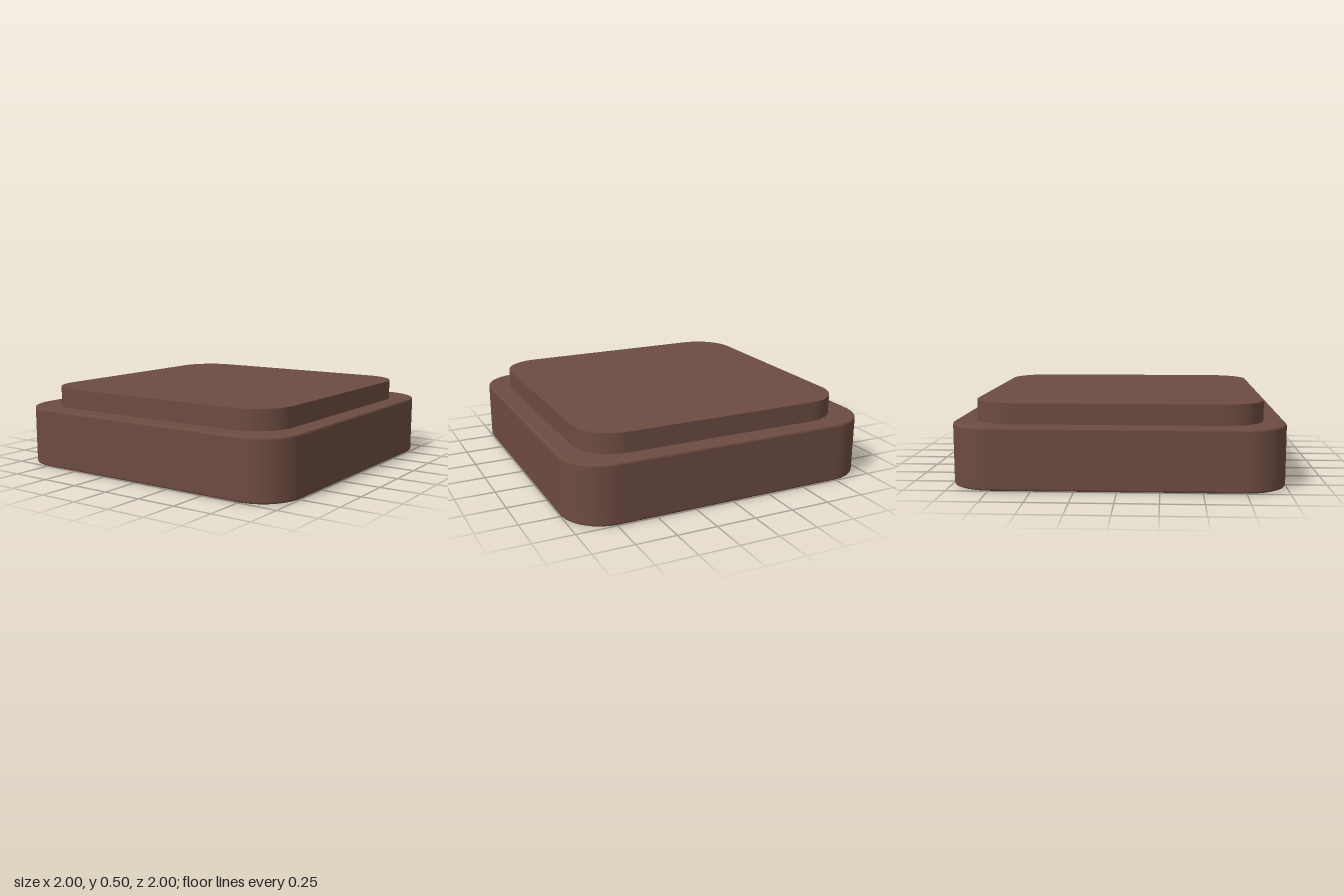
import * as THREE from 'three';

// Rounded square outline, centred on the origin
function roundedSquare(half, r, Type = THREE.Shape) {
  const s = new Type();
  const c = half - r;
  s.moveTo(-c, -half);
  s.lineTo(c, -half);
  s.absarc(c, -c, r, -Math.PI / 2, 0);
  s.lineTo(half, c);
  s.absarc(c, c, r, 0, Math.PI / 2);
  s.lineTo(-c, half);
  s.absarc(-c, c, r, Math.PI / 2, Math.PI);
  s.lineTo(-half, -c);
  s.absarc(-c, -c, r, Math.PI, Math.PI * 1.5);
  return s;
}

// Extrudes an outline upward between two heights
function slab(name, shape, y0, y1, bevel, material) {
  const geo = new THREE.ExtrudeGeometry(shape, {
    depth: y1 - y0 - 2 * bevel,
    curveSegments: 8,
    bevelEnabled: bevel > 0,
    bevelSize: bevel,
    bevelThickness: bevel,
    bevelSegments: 2,
  });
  geo.translate(0, 0, bevel);
  geo.rotateX(-Math.PI / 2);
  geo.translate(0, y0, 0);
  const mesh = new THREE.Mesh(geo, material);
  mesh.name = name;
  return mesh;
}

export function createModel() {
  const group = new THREE.Group();
  group.name = 'steppedBase';
  const wood = new THREE.MeshStandardMaterial({ color: 0x6d4c41 });
  const lining = new THREE.MeshStandardMaterial({ color: 0x8f7049 });
  const bevel = 0.0125;

  // Wide lower frame, open underneath
  const frame = roundedSquare(1 - bevel, 0.25);
  frame.holes.push(roundedSquare(0.875, 0.25, THREE.Path));
  group.add(slab('frame', frame, 0, 0.375, bevel, wood));

  // Raised platform filling the frame
  group.add(slab('platform', roundedSquare(0.875, 0.25), 0.07, 0.5, 0, wood));

  // Recessed panel on the underside
  group.add(slab('bottomPanel', roundedSquare(0.87, 0.25), 0.055, 0.07, 0, lining));

  return group;
}
